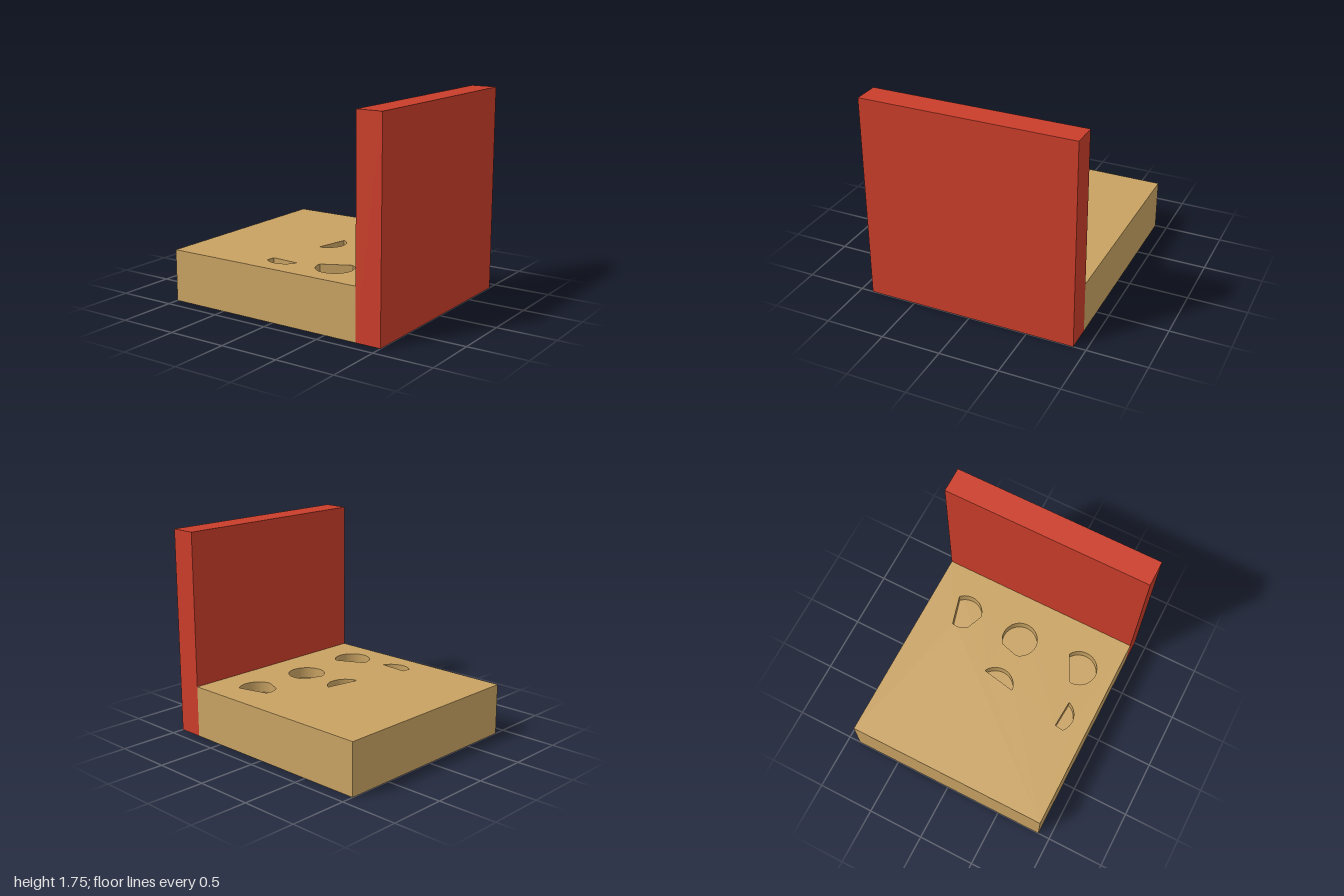
import * as THREE from 'three';

const TAN = 0xc8a262, RED = 0xca3d2a;
const HALF_Z = 0.895, TOP = 0.44, FLOOR = 0.35, RADIUS = 0.155;

// Pockets: round outlines cut by straight chords. Arcs in degrees, seen from above.
const POCKETS = [
  { x: 0.395, z: -0.56, arcs: [[165, 218], [278, 405]] },
  { x: 0.385, z: 0, arcs: [[195, 494]] },
  { x: 0.385, z: 0.585, arcs: [[174, 419]] },
  { x: -0.085, z: 0, arcs: [[-84, 63]] },
  { x: -0.085, z: 0.59, arcs: [[228, 339]], corner: [-0.18, 0.63] },
];

function pocketPath({ x, z, arcs, corner }) {
  const points = [];
  for (const [from, to] of arcs) {
    const steps = Math.ceil((to - from) / 6);
    for (let i = 0; i <= steps; i++) {
      const a = THREE.MathUtils.degToRad(from + (to - from) * i / steps);
      points.push(new THREE.Vector2(x + RADIUS * Math.cos(a), -z + RADIUS * Math.sin(a)));
    }
  }
  if (corner) points.push(new THREE.Vector2(corner[0], -corner[1]));
  return new THREE.Path(points);
}

export function createModel() {
  const model = new THREE.Group();
  const add = (name, geometry, color, x, y, z) => {
    const mesh = new THREE.Mesh(geometry, new THREE.MeshStandardMaterial({ color }));
    mesh.name = name;
    mesh.position.set(x, y, z);
    model.add(mesh);
  };

  // Lower part of the base, whose top is the floor of the pockets
  add('baseBlock', new THREE.BoxGeometry(1.78, FLOOR, 2 * HALF_Z), TAN, -0.11, FLOOR / 2, 0);

  // Upper layer of the base, pierced by the pockets
  const outline = new THREE.Shape([
    new THREE.Vector2(-1, -HALF_Z), new THREE.Vector2(0.78, -HALF_Z),
    new THREE.Vector2(0.78, HALF_Z), new THREE.Vector2(-1, HALF_Z),
  ]);
  outline.holes = POCKETS.map(pocketPath);
  const layer = new THREE.ExtrudeGeometry(outline, { depth: TOP - FLOOR, bevelEnabled: false });
  layer.rotateX(-Math.PI / 2);
  add('pocketedTop', layer, TAN, 0, FLOOR, 0);

  // Upright panel along one side
  add('sidePanel', new THREE.BoxGeometry(0.22, 1.75, 2 * HALF_Z), RED, 0.89, 0.875, 0);

  return model;
}
